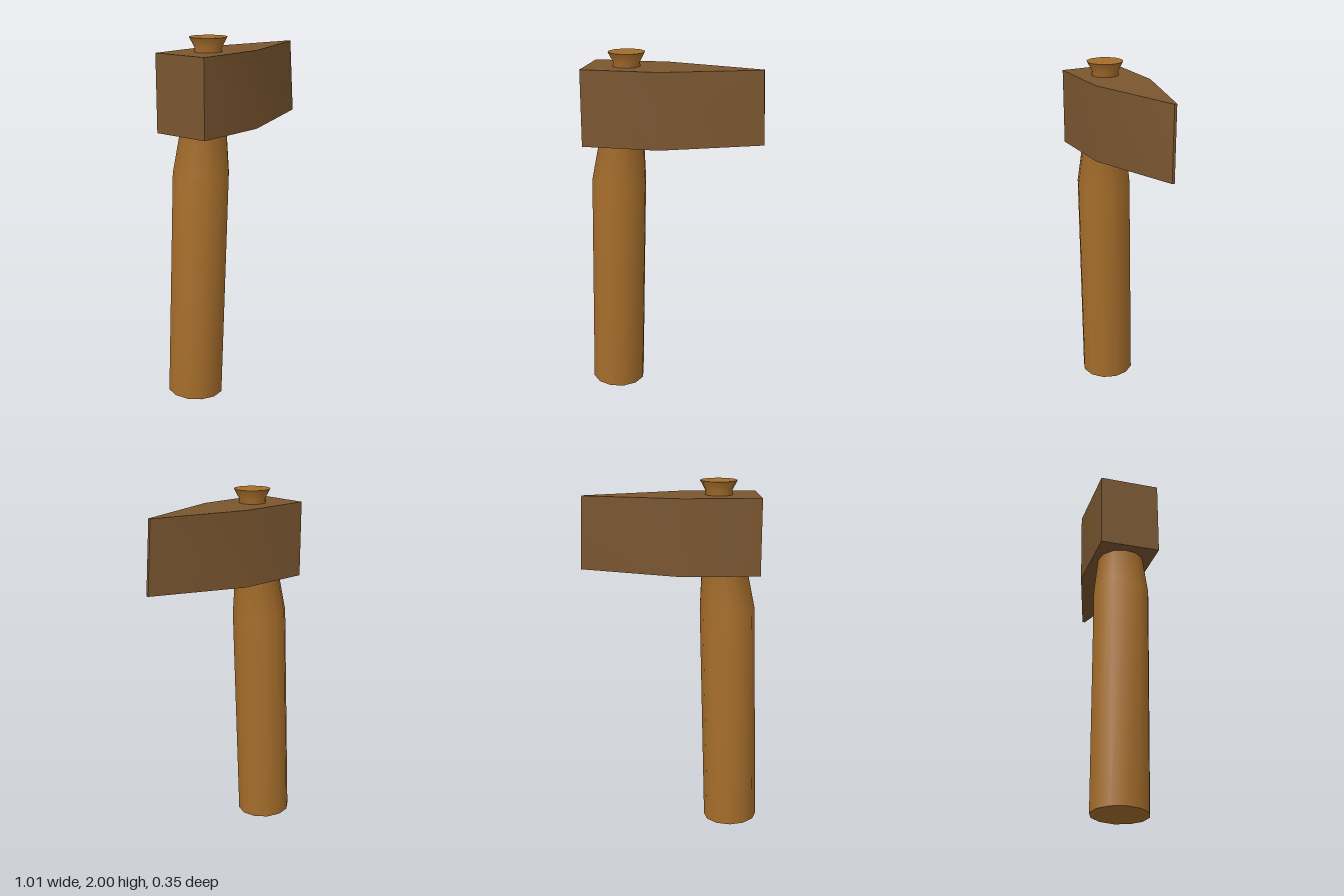
import * as THREE from 'three';
import { toCreasedNormals } from 'three/addons/utils/BufferGeometryUtils.js';

const SIDES = 12;
const TWIST = 0.1;

// Closed round shaft through rings of { x, y, z, r, tilt }
function loft(rings) {
  const pos = [], index = [];
  for (const { x, y, z, r, tilt } of rings) {
    for (let i = 0; i < SIDES; i++) {
      const a = TWIST + (i / SIDES) * Math.PI * 2;
      const dx = Math.cos(a) * r, dz = Math.sin(a) * r;
      pos.push(x + dx, y - tilt * (dx + dz), z + dz);
    }
  }
  for (let k = 0; k < rings.length - 1; k++) {
    for (let i = 0; i < SIDES; i++) {
      const j = (i + 1) % SIDES;
      const a = k * SIDES + i, b = k * SIDES + j;
      index.push(a, a + SIDES, b, b, a + SIDES, b + SIDES);
    }
  }
  // end caps
  const top = (rings.length - 1) * SIDES;
  for (let i = 1; i < SIDES - 1; i++) {
    index.push(0, i, i + 1);
    index.push(top, top + i + 1, top + i);
  }
  const geo = new THREE.BufferGeometry();
  geo.setAttribute('position', new THREE.Float32BufferAttribute(pos, 3));
  geo.setIndex(index);
  return toCreasedNormals(geo, 0.95);
}

// Hammer head: plan outline extruded upward, with the lower blade corners nudged
function headGeometry() {
  const bottom = 1.5, top = 1.922;
  const plan = [[-0.48, 0.178], [-0.05, 0.178], [0.487, 0.004], [0.487, -0.011], [-0.05, -0.155], [-0.48, -0.155]];
  const shape = new THREE.Shape(plan.map(([x, z]) => new THREE.Vector2(x, -z)));
  const geo = new THREE.ExtrudeGeometry(shape, { depth: top - bottom, bevelEnabled: false });
  geo.rotateX(-Math.PI / 2);
  geo.translate(0, bottom, 0);
  const p = geo.attributes.position;
  for (let i = 0; i < p.count; i++) {
    if (p.getX(i) > 0.4 && p.getY(i) < 1.6) {
      p.setXYZ(i, p.getX(i) + 0.015, p.getY(i) + 0.015, p.getZ(i) + 0.014);
    }
  }
  return toCreasedNormals(geo, 0.5);
}

export function createModel() {
  const group = new THREE.Group();
  const add = (name, geometry, color) => {
    const mesh = new THREE.Mesh(geometry, new THREE.MeshStandardMaterial({ color }));
    mesh.name = name;
    group.add(mesh);
  };

  // Leaning grip, tapering neck through the head, flared end on top
  add('handle', loft([
    { x: -0.352, y: 0.009, z: -0.022, r: 0.154, tilt: 0.03 },
    { x: -0.317, y: 1.28, z: 0.007, r: 0.155, tilt: 0.03 },
    { x: -0.26, y: 1.945, z: 0.017, r: 0.074, tilt: 0 },
    { x: -0.26, y: 2.0, z: 0.018, r: 0.103, tilt: 0 },
  ]), 0xa56d2b);

  // Block with a vertical wedge blade
  add('head', headGeometry(), 0x7a5630);

  return group;
}
